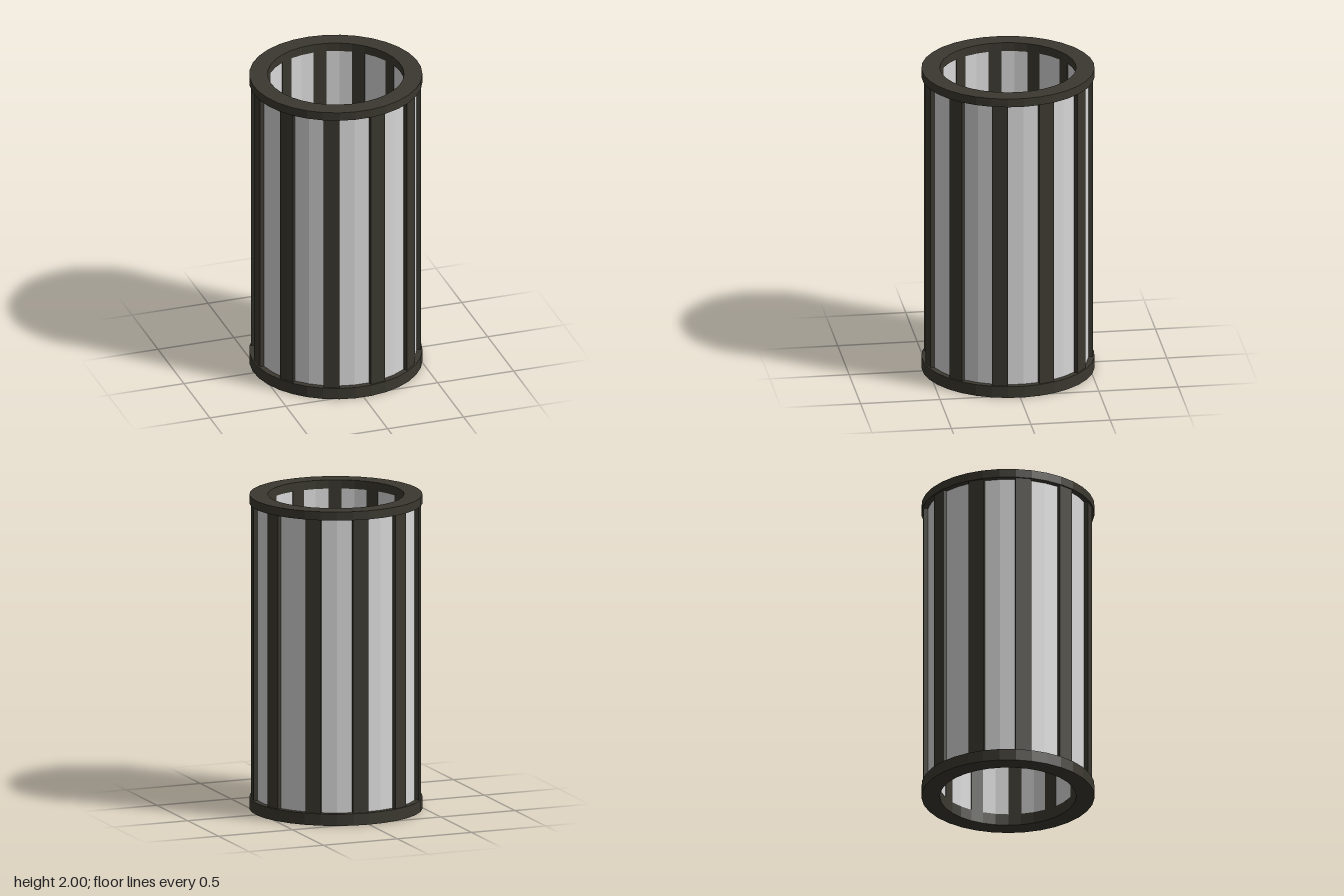
import * as THREE from 'three';

const SIDES = 33;                      // facets around the whole drum
const STEP = (Math.PI * 2) / SIDES;
const BARS = 11;                       // one facet per bar, two per panel

// Points on an arc seen from above, angle measured from the front towards +x
function arc(radius, first, count) {
  const points = [];
  for (let i = 0; i <= count; i++) {
    const a = (first + i) * STEP;
    points.push(new THREE.Vector2(radius * Math.sin(a), -radius * Math.cos(a)));
  }
  return points;
}

// Stand an outline up as a prism between two heights
function prism(shape, y0, y1) {
  const g = new THREE.ExtrudeGeometry(shape, { depth: y1 - y0, bevelEnabled: false });
  g.rotateX(-Math.PI / 2);
  g.translate(0, y0, 0);
  return g;
}

function sector(inner, outer, first, count, y0, y1) {
  const outline = [...arc(outer, first, count), ...arc(inner, first, count).reverse()];
  return prism(new THREE.Shape(outline), y0, y1);
}

function ring(inner, outer, y0, y1) {
  const shape = new THREE.Shape(arc(outer, 0.5, SIDES - 1));
  shape.holes.push(new THREE.Path(arc(inner, 0.5, SIDES - 1)));
  return prism(shape, y0, y1);
}

export function createModel() {
  const frame = new THREE.MeshStandardMaterial({ color: 0x3a382f });
  frame.name = 'dark frame';
  const pane = new THREE.MeshStandardMaterial({ color: 0xd8d8d8 });
  pane.name = 'pale panel';

  const model = new THREE.Group();
  model.name = 'slattedDrum';
  const add = (name, geometry, material) => {
    const mesh = new THREE.Mesh(geometry, material);
    mesh.name = name;
    model.add(mesh);
  };

  // End rings
  add('bottomRing', ring(0.425, 0.54, 0, 0.075), frame);
  add('topRing', ring(0.425, 0.54, 1.945, 2), frame);

  // Upright bars with recessed panels between them
  for (let i = 0; i < BARS; i++) {
    const first = 0.5 + i * 3;
    add('bar', sector(0.426, 0.53, first, 1, 0.07, 1.95), frame);
    add('panel', sector(0.43, 0.503, first + 1, 2, 0.07, 1.95), pane);
  }
  return model;
}
